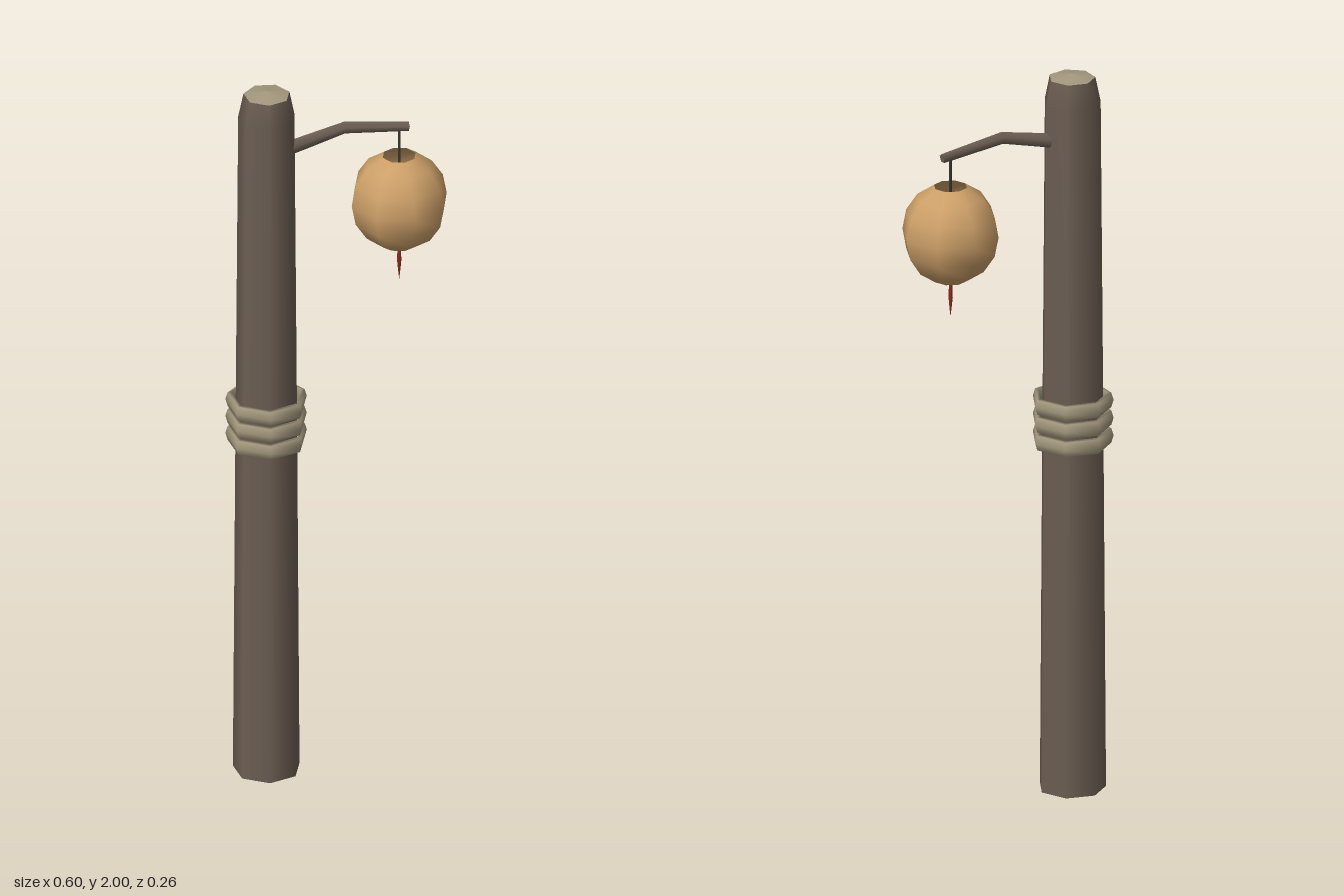
import * as THREE from 'three';

const mat = (name, color, side = THREE.FrontSide) => {
  const m = new THREE.MeshStandardMaterial({ color, side });
  m.name = name;
  return m;
};

export function createModel() {
  const group = new THREE.Group();
  const wood = mat('dark wood', 0x6c5e53);
  const pale = mat('pale rope and cut wood', 0xa2977d);
  const paper = mat('lantern paper', 0xcc9f68, THREE.DoubleSide);
  const iron = mat('dark cord', 0x3a3530);
  const red = mat('red tassel', 0x8e2a20);

  const add = (name, geometry, material, x = 0, y = 0) => {
    const mesh = new THREE.Mesh(geometry, material);
    mesh.name = name;
    mesh.position.set(x, y, 0);
    group.add(mesh);
    return mesh;
  };
  // Profile of [radius, height] turned so that one corner points to +x
  const lathe = (profile, sides) => new THREE.LatheGeometry(
    profile.map(([r, y]) => new THREE.Vector2(r, y)), sides, Math.PI / 2);

  const postX = -0.2, lanternX = 0.165;

  // Tapered seven-sided post with a bevelled head and a pale cut top
  add('post', lathe([[0.09, 0], [0.083, 1.03], [0.076, 1.92], [0.062, 1.988]], 7), wood, postX);
  add('postBase', lathe([[0, 0], [0.09, 0]], 7), wood, postX);
  add('postTop', lathe([[0.062, 1.988], [0, 2]], 7), pale, postX);

  // Three rope bands around the middle
  const band = lathe([[0.095, -0.022], [0.104, -0.02], [0.11, 0], [0.104, 0.02],
    [0.095, 0.022], [0.093, 0], [0.095, -0.022]], 7);
  for (let i = 0; i < 3; i++) add('ropeBand' + (i + 1), band, pale, postX, 0.982 + i * 0.05);

  // Bent, tapering arm: a two-segment cylinder laid along a path
  const path = [[-0.137, 1.823], [0.012, 1.858], [0.19, 1.833]];
  const arm = new THREE.CylinderGeometry(0.013, 0.02, 2, 5, 2);
  const p = arm.attributes.position;
  for (let i = 0; i < p.count; i++) {
    const [x, y] = path[Math.round(p.getY(i) + 1)];
    const up = p.getZ(i), side = p.getX(i);
    p.setXYZ(i, x + up * 0.1 * Math.sign(p.getY(i)), y + up, side);
  }
  arm.computeVertexNormals();
  add('arm', arm, wood);

  // Open, eight-sided paper lantern
  const rings = [];
  for (let i = 0; i <= 6; i++) {
    const a = 0.35 + (Math.PI - 0.7) * i / 6;
    rings.push([0.131 * Math.sin(a), -0.139 * Math.cos(a)]);
  }
  add('lantern', lathe(rings, 8), paper, lanternX, 1.62);

  // Cord through the lantern and the tassel below it
  add('cord', new THREE.CylinderGeometry(0.004, 0.004, 0.36, 5), iron, lanternX, 1.66);
  add('tassel', lathe([[0, 1.385], [0.003, 1.41], [0.006, 1.44], [0.004, 1.5], [0, 1.5]], 5), red, lanternX);

  return group;
}
